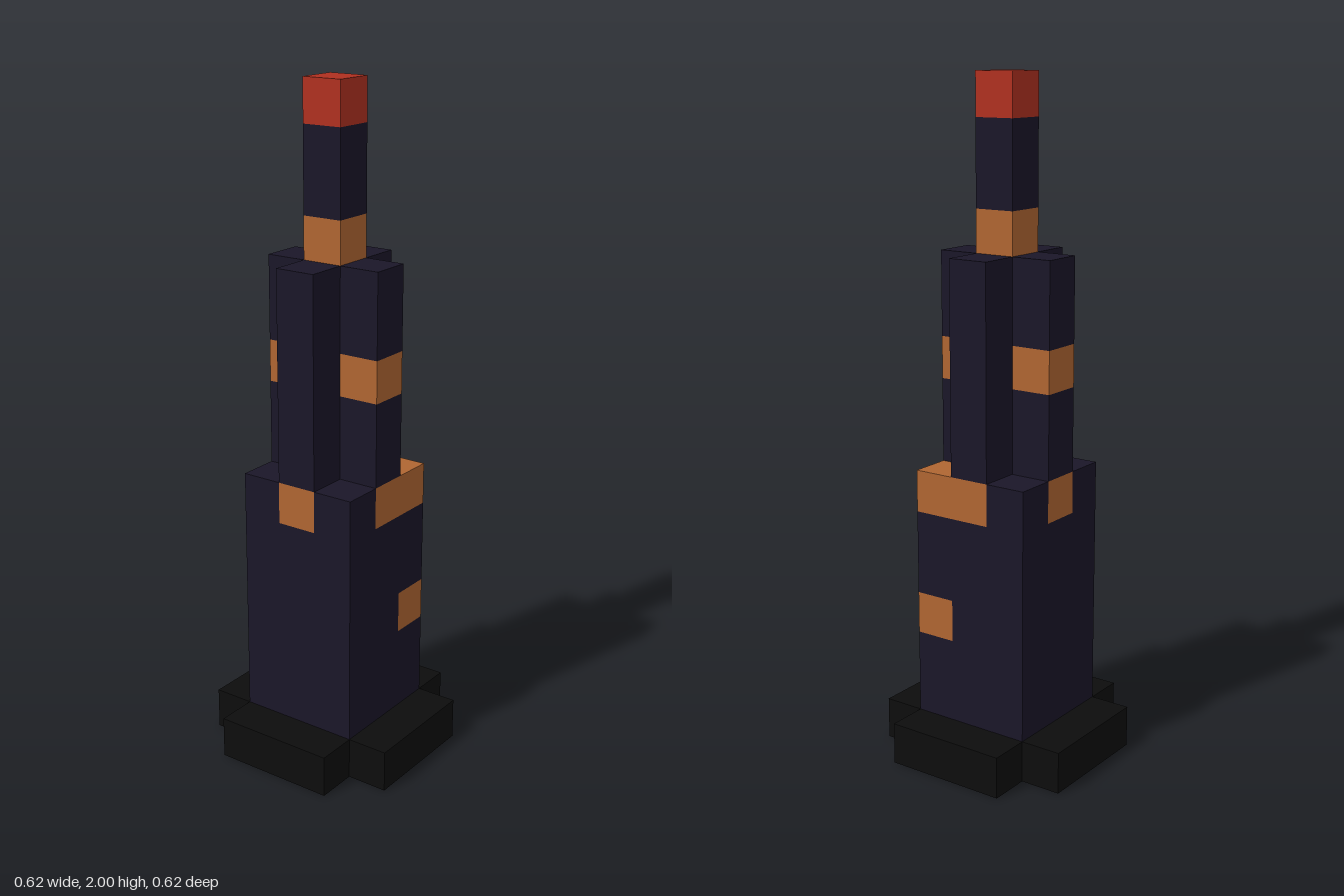
import * as THREE from 'three';
import { mergeGeometries } from 'three/addons/utils/BufferGeometryUtils.js';

const U = 0.125; // size of one block

const COLORS = {
  base: 0x0d0d0d,
  lowerTower: 0x1a1628,
  upperTower: 0x1a1628,
  mast: 0x1a1628,
  windows: 0xb06632,
  beacon: 0xb03020,
};

// lit blocks as "x,y,z" in block units
const LIT = new Set([
  '1,3,1',                                          // low corner window
  '1,6,1', '0,6,1', '1,6,0', '0,6,-1', '-1,6,0',    // top row of the lower tower
  '0,9,1', '0,9,-1',                                // upper tower windows
  '0,12,0',                                         // lamp at the foot of the mast
]);

// which part, if any, fills a block
function partAt(x, y, z) {
  const ax = Math.abs(x), az = Math.abs(z);
  const inSquare = ax <= 1 && az <= 1;
  if (y < 0 || y > 15) return null;
  if (LIT.has(`${x},${y},${z}`)) return 'windows';
  if (y === 0) return ax <= 2 && az <= 2 && ax + az < 4 ? 'base' : null;
  if (y < 7) return inSquare ? 'lowerTower' : null;
  if (y < 12) return ax + az <= 1 ? 'upperTower' : null;
  if (ax + az > 0) return null;
  return y === 15 ? 'beacon' : 'mast';
}

// the six block sides: outward direction and the turn that faces a plane that way
const SIDES = [
  { d: [0, 0, 1], r: [0, 0] },
  { d: [0, 0, -1], r: [0, Math.PI] },
  { d: [1, 0, 0], r: [0, Math.PI / 2] },
  { d: [-1, 0, 0], r: [0, -Math.PI / 2] },
  { d: [0, 1, 0], r: [-Math.PI / 2, 0] },
  { d: [0, -1, 0], r: [Math.PI / 2, 0] },
];

function blockSide(x, y, z, { d, r }) {
  return new THREE.PlaneGeometry(U, U)
    .rotateX(r[0])
    .rotateY(r[1])
    .translate((x + d[0] / 2) * U, (y + 0.5 + d[1] / 2) * U, (z + d[2] / 2) * U);
}

export function createModel() {
  const faces = {};
  for (const name in COLORS) faces[name] = [];

  // keep only the block sides that are exposed
  for (let y = 0; y < 16; y++) {
    for (let x = -2; x <= 2; x++) {
      for (let z = -2; z <= 2; z++) {
        const part = partAt(x, y, z);
        if (!part) continue;
        for (const side of SIDES) {
          const [dx, dy, dz] = side.d;
          if (!partAt(x + dx, y + dy, z + dz)) faces[part].push(blockSide(x, y, z, side));
        }
      }
    }
  }

  // one mesh per part
  const model = new THREE.Group();
  model.name = 'blockTower';
  for (const name in COLORS) {
    const material = new THREE.MeshStandardMaterial({ color: COLORS[name] });
    const mesh = new THREE.Mesh(mergeGeometries(faces[name]), material);
    mesh.name = name;
    model.add(mesh);
  }
  return model;
}
